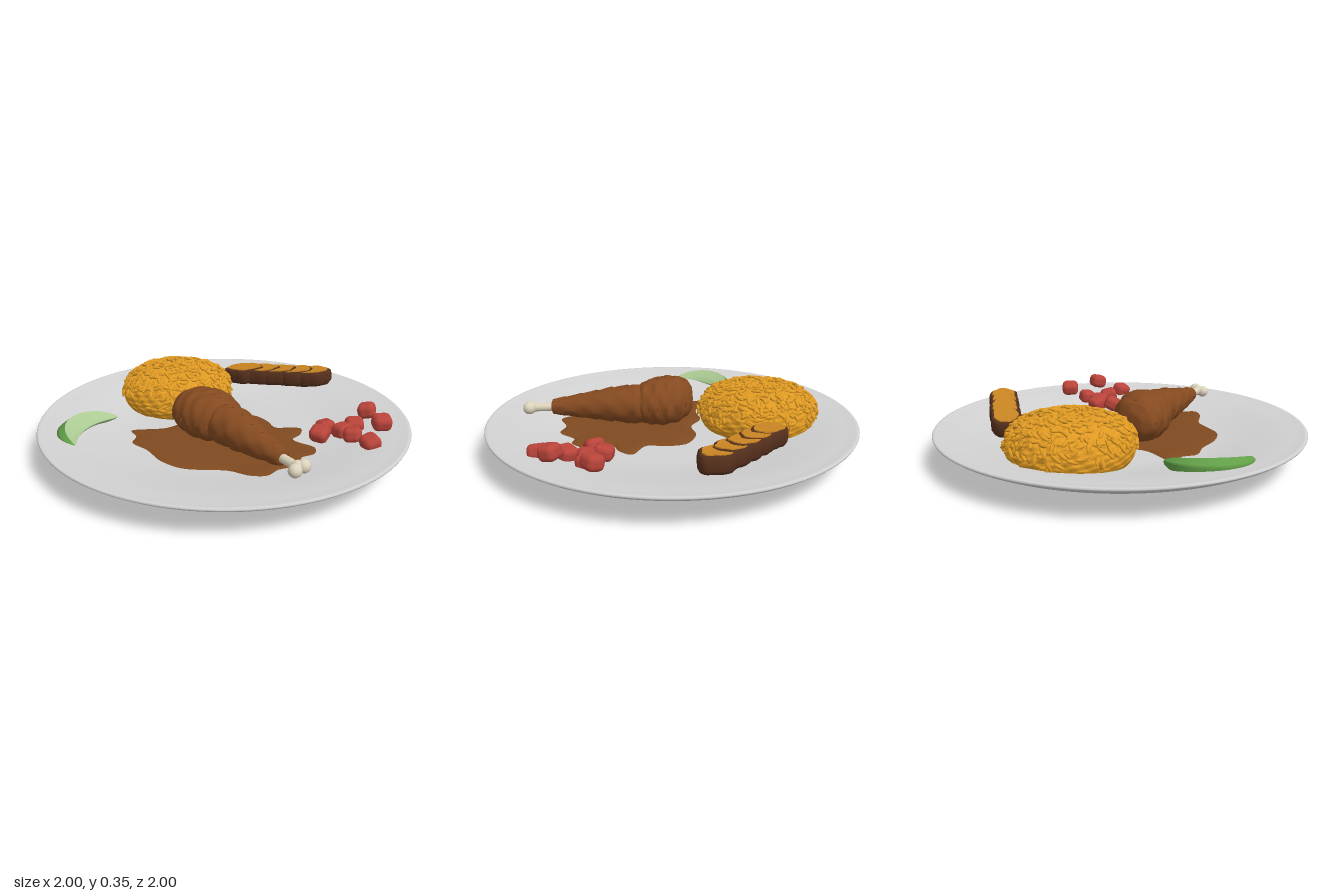
import * as THREE from 'three';
import { mergeGeometries } from 'three/addons/utils/BufferGeometryUtils.js';
import { RoundedBoxGeometry } from 'three/addons/geometries/RoundedBoxGeometry.js';
import { ParametricGeometry } from 'three/addons/geometries/ParametricGeometry.js';

const material = (name, color, side = THREE.FrontSide) => {
  const m = new THREE.MeshStandardMaterial({ color, side });
  m.name = name;
  return m;
};

// Height of the plate's eating surface at radius r
const plateY = (r) => 0.09 + 0.073 * THREE.MathUtils.smoothstep(r, 0.45, 1);

// Evenly interpolates a short list of [at, value...] rows
function sample(rows, t) {
  let i = 1;
  while (i < rows.length - 1 && rows[i][0] < t) i++;
  const a = rows[i - 1], b = rows[i];
  const k = THREE.MathUtils.clamp((t - a[0]) / (b[0] - a[0]), 0, 1);
  return a.map((v, j) => v + (b[j] - v) * k);
}

export function createModel() {
  const model = new THREE.Group();
  model.name = 'dinnerPlate';
  const mats = {
    plate: material('plate grey', 0xd2d2d2),
    rice: material('golden rice', 0xe09a22),
    meat: material('roast brown', 0x854a20),
    sauce: material('sauce brown', 0x7f4a20, THREE.DoubleSide),
    bone: material('bone cream', 0xdcd3bc),
    red: material('tomato red', 0xb9443a),
    skin: material('green skin', 0x629f48, THREE.DoubleSide),
    flesh: material('pale green flesh', 0xabca92, THREE.DoubleSide),
    crust: material('dark crust', 0x56301c),
    fried: material('fried gold', 0xc98522),
  };
  const add = (name, geometry, mat, parent = model) => {
    const mesh = new THREE.Mesh(geometry, mat);
    mesh.name = name;
    parent.add(mesh);
    return mesh;
  };
  const group = (name) => {
    const g = new THREE.Group();
    g.name = name;
    model.add(g);
    return g;
  };
  let seed = 7;
  const rand = () => (seed = (seed * 16807) % 2147483647) / 2147483647;

  // Plate: underside with a foot, rounded rim, dished top
  const profile = [
    [0, 0.02], [0.4, 0.02], [0.42, 0.016], [0.45, 0.002], [0.48, 0], [0.56, 0], [0.61, 0.006],
    [0.645, 0.02], [0.67, 0.04], [0.7, 0.055], [0.75, 0.067], [0.85, 0.09], [0.93, 0.118],
    [0.98, 0.143], [0.997, 0.155], [1, 0.162], [0.995, 0.168], [0.98, 0.168],
  ].map(([x, y]) => new THREE.Vector2(x, y));
  for (let i = 24; i >= 0; i--) profile.push(new THREE.Vector2(i * 0.04, plateY(i * 0.04)));
  add('plate', new THREE.LatheGeometry(profile, 96), mats.plate);

  // Sauce puddle following the plate surface
  const outline = new THREE.CatmullRomCurve3([
    [-0.46, 0.22], [-0.3, 0.12], [-0.22, 0], [-0.1, -0.05], [-0.04, -0.15], [0.03, -0.2], [0.11, -0.22],
    [0.2, -0.17], [0.27, -0.1], [0.4, -0.14], [0.42, -0.06], [0.4, 0.02], [0.53, 0.08], [0.55, 0.17],
    [0.5, 0.22], [0.52, 0.32], [0.43, 0.4], [0.4, 0.49], [0.33, 0.51], [0.2, 0.48], [0.1, 0.51],
    [-0.02, 0.54], [-0.15, 0.5], [-0.27, 0.41], [-0.38, 0.36], [-0.4, 0.28],
  ].map(([x, z]) => new THREE.Vector3(x, 0, z)), true);
  const puddle = new THREE.Vector3(0.08, 0, 0.2);
  add('sauce', new ParametricGeometry((u, v, p) => {
    const t = Math.max(v, 0.001);
    p.copy(outline.getPoint(u % 1)).sub(puddle).multiplyScalar(t).add(puddle);
    p.y = plateY(Math.hypot(p.x, p.z)) + 0.012 * (1 - t ** 14);
  }, 130, 16), mats.sauce);

  // Rice mound with loose grains
  const rice = group('riceMound');
  rice.position.set(-0.4, 0, -0.27);
  const mound = (phi, th, p, lift = 0) => {
    const r = 0.322 * Math.max(Math.cos(phi), 0.0001) ** 0.65 + lift * Math.cos(phi);
    const bump = 0.005 * Math.sin(th * 17 + phi * 9) * Math.sin(phi * 23 - th * 5) * Math.cos(phi);
    const y = 0.17 + (0.152 + lift) * Math.sin(phi) - 0.014 * Math.exp(-((r / 0.07) ** 2));
    return p.set((r + bump) * Math.cos(th), y + bump, (r + bump) * Math.sin(th));
  };
  add('mound', new ParametricGeometry((u, v, p) =>
    mound(-0.5 + v * (Math.PI / 2 + 0.5), -u * Math.PI * 2, p), 80, 40), mats.rice, rice);
  const grains = [];
  const dummy = new THREE.Object3D(), normal = new THREE.Vector3(), up = new THREE.Vector3(0, 1, 0);
  for (let i = 0; i < 480; i++) {
    const phi = i % 3 ? Math.acos(Math.sqrt(rand()) ** 1.54) : -0.1 + rand() * 0.9;
    const th = rand() * Math.PI * 2;
    mound(phi, th, dummy.position, 0.004);
    normal.set(Math.cos(phi) * Math.cos(th) / 0.33, Math.sin(phi) / 0.16, Math.cos(phi) * Math.sin(th) / 0.33);
    dummy.quaternion.setFromUnitVectors(up, normal.normalize());
    dummy.rotateY(rand() * Math.PI * 2);
    dummy.rotateZ((rand() - 0.5) * 0.6);
    dummy.scale.set(0.025 + rand() * 0.008, 0.009, 0.01);
    dummy.updateMatrix();
    grains.push(new THREE.SphereGeometry(1, 8, 6).applyMatrix4(dummy.matrix));
  }
  add('grains', mergeGeometries(grains), mats.rice, rice);

  // Drumstick meat: rows of [along, x, y, z, half width, half height]
  const drumstick = group('drumstick');
  const thigh = [
    [0, -0.205, 0.215, 0.05, 0.001, 0.001], [0.03, -0.2, 0.215, 0.05, 0.065, 0.06],
    [0.1, -0.175, 0.215, 0.06, 0.11, 0.1], [0.2, -0.13, 0.215, 0.08, 0.145, 0.125],
    [0.4, -0.06, 0.215, 0.115, 0.162, 0.137], [0.6, 0, 0.215, 0.145, 0.155, 0.132],
    [0.8, 0.06, 0.21, 0.18, 0.13, 0.11], [0.93, 0.1, 0.205, 0.205, 0.085, 0.075], [1, 0.12, 0.2, 0.22, 0.001, 0.001],
  ];
  const shank = [
    [0, 0.02, 0.2, 0.14, 0.09, 0.09], [0.22, 0.1, 0.205, 0.2, 0.115, 0.11], [0.45, 0.21, 0.21, 0.285, 0.102, 0.092],
    [0.7, 0.33, 0.207, 0.375, 0.072, 0.068], [0.9, 0.43, 0.205, 0.447, 0.05, 0.048],
    [0.97, 0.465, 0.205, 0.474, 0.042, 0.04], [1, 0.47, 0.205, 0.48, 0.001, 0.001],
  ];
  const meat = (rows, ridge) => new ParametricGeometry((u, v, p) => {
    const [, x, y, z, w, h] = sample(rows, v);
    const a = -u * Math.PI * 2;
    const k = 1 + 0.03 * Math.sin(3 * a + v * 11) * Math.sin(v * 19 + 2 * a)
      + 0.018 * Math.sin(5 * a - v * 27) + ridge * (((v * 7 + 0.12 * Math.sin(a * 2)) % 1 + 1) % 1 - 0.5);
    p.set(x - 0.62 * Math.cos(a) * w * k, y + Math.sin(a) * h * k, z + 0.78 * Math.cos(a) * w * k);
  }, 48, 56);
  add('thigh', meat(thigh, 0.02), mats.meat, drumstick);
  add('shank', meat(shank, -0.07), mats.meat, drumstick);

  // Bone shaft and knuckles
  const shaft = new THREE.LineCurve3(new THREE.Vector3(0.44, 0.205, 0.455), new THREE.Vector3(0.56, 0.205, 0.54));
  add('boneShaft', new THREE.TubeGeometry(shaft, 4, 0.023, 14), mats.bone, drumstick);
  for (const [x, y, z, r] of [[0.55, 0.2, 0.565, 0.034], [0.58, 0.21, 0.525, 0.034], [0.555, 0.207, 0.537, 0.032]]) {
    add('boneKnuckle', new THREE.SphereGeometry(r, 18, 12), mats.bone, drumstick).position.set(x, y, z);
  }

  // Green wedge: skin outside, flesh inside, swept along an arc that tapers to the tips
  const wedge = group('greenWedge');
  const strip = (section) => new ParametricGeometry((u, v, p) => {
    const a = Math.PI * (0.5 + 0.03 + 0.94 * u);
    const k = Math.max(Math.sin(Math.PI * u), 0) ** 0.6;
    const [, off, h] = sample(section, v);
    const r = 0.185 + off * k;
    p.set(-0.555 + r * Math.cos(a) * 1.02, 0.135 + h * k, 0.38 + r * 1.15 * Math.sin(a));
  }, 48, 12);
  add('wedgeSkin', strip([[0, -0.05, -0.04], [0.25, 0.005, -0.045], [0.5, 0.03, -0.015], [0.75, 0.032, 0.025], [1, -0.015, 0.062]]), mats.skin, wedge);
  add('wedgeFlesh', strip([[0, -0.015, 0.062], [0.5, -0.075, 0.032], [0.8, -0.105, 0.005], [1, -0.05, -0.04]]), mats.flesh, wedge);

  // Overlapping fried slices, dark crust with a golden face
  const slices = group('friedSlices');
  for (let i = 0; i < 5; i++) {
    const slice = new THREE.Group();
    slice.name = 'slice';
    slice.position.set(-0.085 + i * 0.102, 0.2 + i * 0.003, -0.612 - i * 0.013);
    slice.rotation.set(0, 0.14, 0.11);
    slices.add(slice);
    const wobble = (g, n) => {
      const q = g.attributes.position;
      for (let j = 0; j < q.count; j++) {
        const a = Math.atan2(q.getZ(j), q.getX(j));
        const k = 1 + 0.04 * Math.sin(5 * a + i * 2) + 0.025 * Math.sin(9 * a + i);
        q.setXYZ(j, q.getX(j) * k, q.getY(j) + n * Math.sin(3 * a + i), q.getZ(j) * k);
      }
      g.computeVertexNormals();
      return g;
    };
    const body = [[0, -0.045], [0.85, -0.045], [0.97, -0.025], [1, 0.01], [0.96, 0.036], [0.88, 0.042], [0, 0.04]];
    add('crust', wobble(new THREE.LatheGeometry(body.map(([x, y]) => new THREE.Vector2(x, y)), 36), 0.002), mats.crust, slice)
      .scale.set(0.128, 1, 0.083);
    const face = add('face', wobble(new THREE.CylinderGeometry(1, 1, 0.008, 36), 0.001), mats.fried, slice);
    face.scale.set(0.106, 1, 0.064);
    face.position.y = 0.043;
  }

  // Diced red pieces
  const dice = group('redDice');
  [
    [0.735, 0.195, -0.275], [0.69, 0.145, -0.165], [0.545, 0.135, -0.105], [0.64, 0.135, -0.09],
    [0.535, 0.135, -0.01], [0.705, 0.15, -0.025], [0.84, 0.215, -0.09], [0.81, 0.16, 0.065],
  ].forEach(([x, y, z], i) => {
    const cube = add('redDie', new RoundedBoxGeometry(0.094, 0.08, 0.1, 4, 0.03), mats.red, dice);
    cube.position.set(x, y, z);
    cube.rotation.set(0.25 * Math.sin(i * 2.1), i * 1.9, 0.25 * Math.cos(i * 1.7));
  });

  return model;
}
